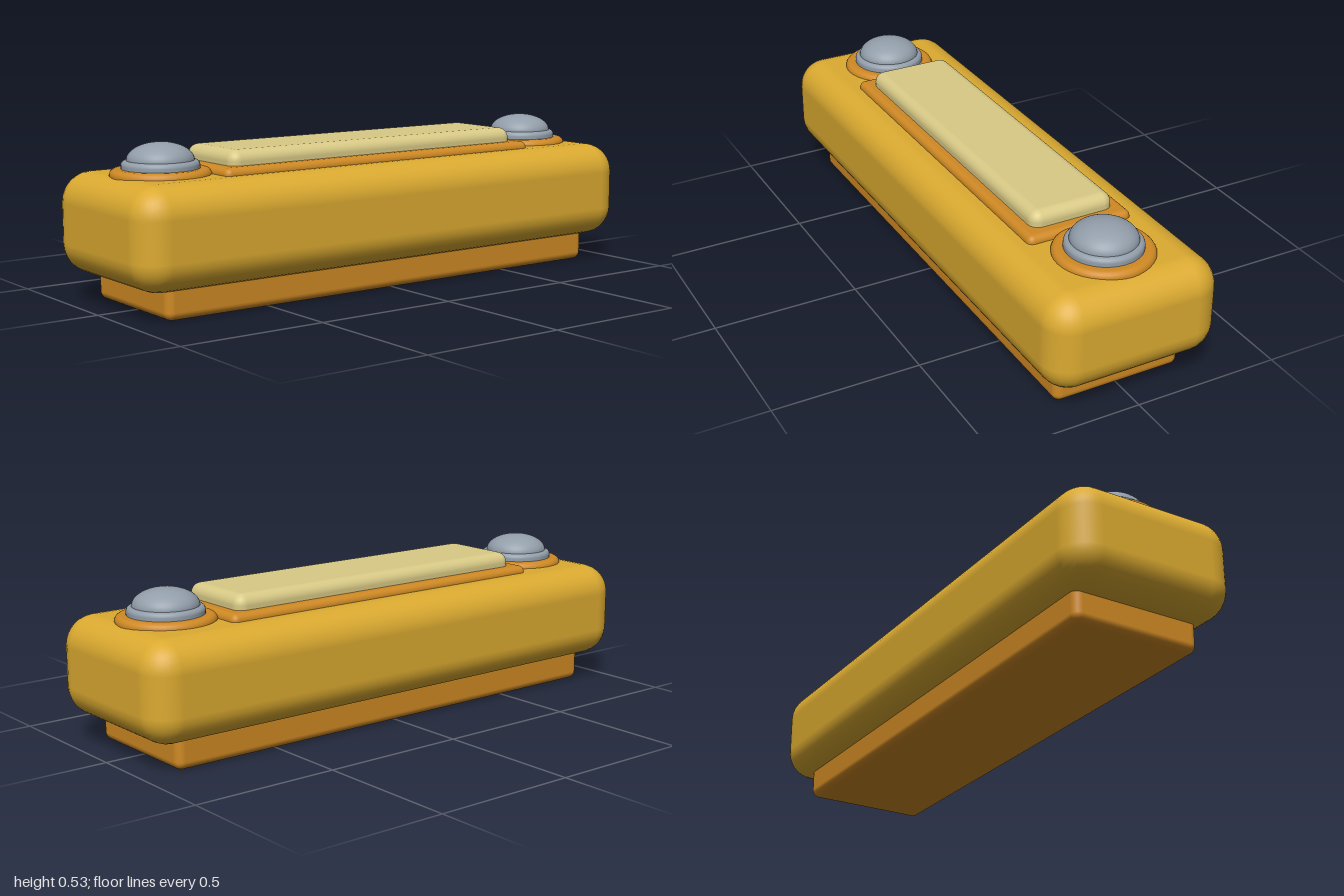
import * as THREE from 'three';
import { RoundedBoxGeometry } from 'three/addons/geometries/RoundedBoxGeometry.js';

function material(name, color) {
  const m = new THREE.MeshStandardMaterial({ color });
  m.name = name;
  return m;
}

export function createModel() {
  const yellow = material('golden yellow', 0xdbaa30);
  const orange = material('burnt orange', 0xcf8924);
  const cream = material('pale cream', 0xd9ca86);
  const grey = material('steel grey', 0x929eaa);
  const model = new THREE.Group();
  model.name = 'roundedBar';

  // Rounded block spanning y0 to y1, centred on x and z
  function block(name, mat, width, depth, y0, y1, radius, segments) {
    const mesh = new THREE.Mesh(new RoundedBoxGeometry(width, y1 - y0, depth, segments, radius), mat);
    mesh.position.y = (y0 + y1) / 2;
    mesh.name = name;
    model.add(mesh);
  }

  // Disc with a rounded upper rim
  function disc(name, mat, radius, y0, y1, bevel) {
    const points = [new THREE.Vector2(radius, y0)];
    for (let i = 0; i <= 5; i++) {
      const a = (i / 5) * Math.PI / 2;
      points.push(new THREE.Vector2(radius - bevel + bevel * Math.cos(a), y1 - bevel + bevel * Math.sin(a)));
    }
    points.push(new THREE.Vector2(radius - bevel - 0.01, y1), new THREE.Vector2(0, y1));
    const mesh = new THREE.Mesh(new THREE.LatheGeometry(points, 40), mat);
    mesh.name = name;
    return mesh;
  }

  // Base, body and the raised plate on top
  block('base', orange, 0.45, 1.76, 0, 0.16, 0.027, 4);
  block('body', yellow, 0.6, 2, 0.093, 0.424, 0.1, 4);
  block('topPanel', orange, 0.37, 1.275, 0.39, 0.448, 0.022, 4);
  block('topPlate', cream, 0.294, 1.186, 0.41, 0.497, 0.036, 4);

  // One domed stud at each end
  for (const side of [1, -1]) {
    const stud = new THREE.Group();
    stud.name = side > 0 ? 'frontStud' : 'backStud';
    stud.position.z = side * 0.767;
    stud.add(disc('studRing', orange, 0.162, 0.39, 0.443, 0.02));
    stud.add(disc('studCollar', grey, 0.125, 0.42, 0.469, 0.016));
    const dome = new THREE.Mesh(new THREE.SphereGeometry(0.108, 40, 12, 0, Math.PI * 2, 0, Math.PI / 2), grey);
    dome.name = 'studDome';
    dome.scale.y = 0.058 / 0.108;
    dome.position.y = 0.468;
    stud.add(dome);
    model.add(stud);
  }
  return model;
}
